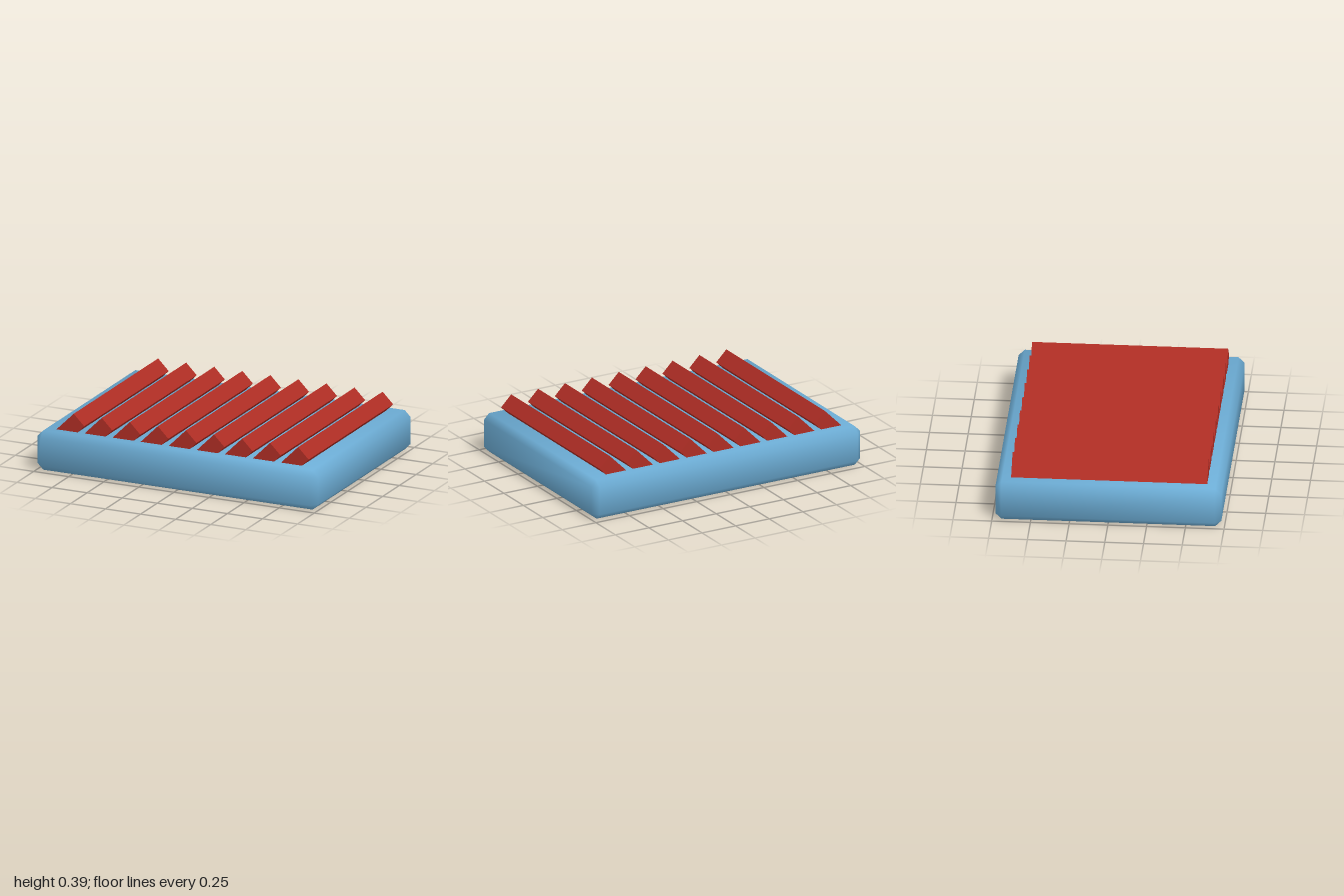
import * as THREE from 'three';
import { ConvexGeometry } from 'three/addons/geometries/ConvexGeometry.js';

const blue = new THREE.MeshStandardMaterial({ color: 0x6cacd4 });
blue.name = 'blue';
const red = new THREE.MeshStandardMaterial({ color: 0xae2d24 });
red.name = 'red';

// Box with chamfered edges whose normals blend softly around the edges
function chamferedBox(w, h, d, c) {
  const half = [w / 2, h / 2, d / 2];
  const points = [];
  for (const sx of [-1, 1]) for (const sy of [-1, 1]) for (const sz of [-1, 1]) {
    for (let axis = 0; axis < 3; axis++) {
      const p = [sx, sy, sz].map((s, i) => s * (half[i] - (i === axis ? 0 : c)));
      points.push(new THREE.Vector3(...p));
    }
  }
  const geo = new ConvexGeometry(points);
  const pos = geo.attributes.position;
  const normal = geo.attributes.normal;
  for (let i = 0; i < pos.count; i++) {
    // Face direction leads, the two neighbouring chamfers tilt it
    const n = [pos.getX(i), pos.getY(i), pos.getZ(i)].map((v, k) =>
      Math.sign(v) * (Math.abs(v) > half[k] - c / 2 ? 1 : 0.39));
    const v = new THREE.Vector3(...n).normalize();
    normal.setXYZ(i, v.x, v.y, v.z);
  }
  return geo;
}

export function createModel() {
  const group = new THREE.Group();
  group.name = 'slattedTray';

  // Base slab
  const base = new THREE.Mesh(chamferedBox(2, 0.266, 1.46, 0.04), blue);
  base.name = 'base';
  base.position.y = 0.133;
  group.add(base);

  // Nine tilted slats, partly sunk into the base
  const slatGeometry = new THREE.BoxGeometry(0.19, 0.106, 1.266);
  for (let i = 0; i < 9; i++) {
    const slat = new THREE.Mesh(slatGeometry, red);
    slat.name = `slat${i + 1}`;
    slat.position.set(-0.8 + i * 0.2, 0.284, 0);
    slat.rotation.z = Math.PI / 4;
    group.add(slat);
  }
  return group;
}
